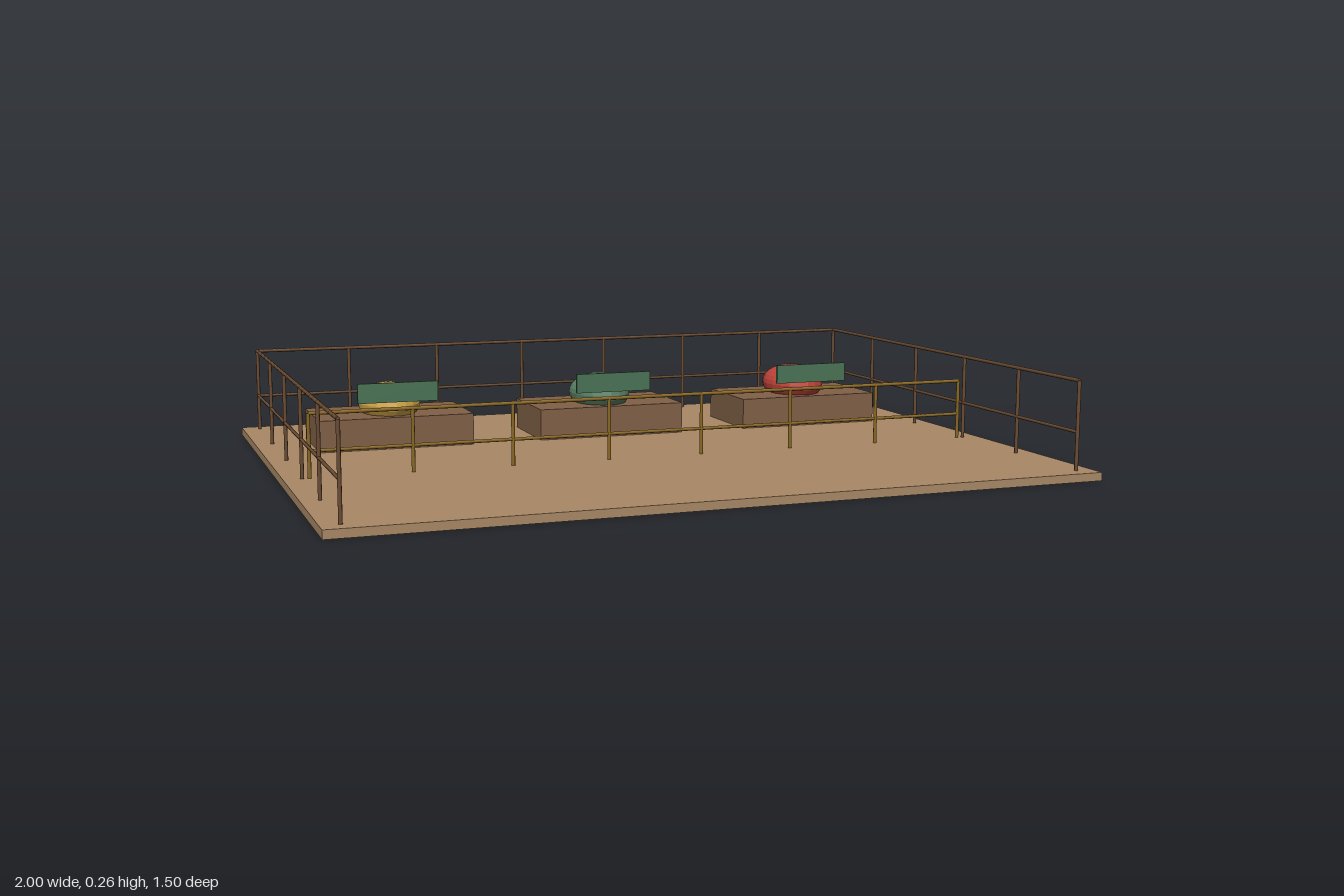
import * as THREE from 'three';

const mat = (name, color, flatShading = false) => {
  const m = new THREE.MeshStandardMaterial({ color, flatShading });
  m.name = name;
  return m;
};

export function createModel() {
  const group = new THREE.Group();
  const floorMat = mat('tan floor', 0xa98967);
  const plinthMat = mat('brown plinth', 0x816047);
  const railMat = mat('dark brown rail', 0x6b4c33);
  const brassMat = mat('brass rail', 0x8a6824);
  const signMat = mat('sign green', 0x4a7456);
  const eggMats = [
    mat('gold', 0xd4a84b, true),
    mat('green', 0x5b8266, true),
    mat('red', 0xc0443a, true),
  ];
  const FLOOR = 0.022;

  function box(name, material, w, h, d, x, y, z, parent = group) {
    const m = new THREE.Mesh(new THREE.BoxGeometry(w, h, d), material);
    m.name = name;
    m.position.set(x, y, z);
    parent.add(m);
    return m;
  }

  // Round bar between two points
  function bar(name, material, a, b, r, parent) {
    const dir = b.clone().sub(a);
    const m = new THREE.Mesh(new THREE.CylinderGeometry(r, r, dir.length(), 8), material);
    m.name = name;
    m.position.copy(a).add(b).multiplyScalar(0.5);
    m.quaternion.setFromUnitVectors(new THREE.Vector3(0, 1, 0), dir.normalize());
    parent.add(m);
  }

  // Straight railing: evenly spaced posts and two horizontal bars
  function railing(name, material, [x0, z0], [x1, z1], spans, top, mid) {
    const g = new THREE.Group();
    g.name = name;
    for (let i = 0; i <= spans; i++) {
      const x = THREE.MathUtils.lerp(x0, x1, i / spans);
      const z = THREE.MathUtils.lerp(z0, z1, i / spans);
      bar('post', material, new THREE.Vector3(x, FLOOR, z), new THREE.Vector3(x, top, z), 0.005, g);
    }
    for (const [part, y, r] of [['topRail', top, 0.005], ['middleRail', mid, 0.0045]]) {
      bar(part, material, new THREE.Vector3(x0, y, z0), new THREE.Vector3(x1, y, z1), r, g);
    }
    group.add(g);
  }

  // Floor slab
  box('floor', floorMat, 2, FLOOR, 1.5, 0, FLOOR / 2, 0);

  // Perimeter railings on the back and both sides, low barrier across the middle
  railing('backRailing', railMat, [-0.952, -0.705], [0.952, -0.705], 7, 0.257, 0.123);
  railing('rightRailing', railMat, [-0.952, -0.705], [-0.952, 0.705], 5, 0.257, 0.123);
  railing('leftRailing', railMat, [0.952, -0.705], [0.952, 0.705], 5, 0.257, 0.123);
  railing('frontBarrier', brassMat, [-0.933, 0.14], [0.933, 0.14], 7, 0.188, 0.092);

  // Three displays: plinth, egg sunk into it, sign in front
  eggMats.forEach((eggMat, i) => {
    const display = new THREE.Group();
    display.name = 'display';
    display.position.x = (i - 1) * 0.632;
    group.add(display);
    box('plinth', plinthMat, 0.434, 0.11 - FLOOR, 0.257, 0, (0.11 + FLOOR) / 2, -0.35, display);
    box('sign', signMat, 0.225, 0.055, 0.009, 0, 0.182, -0.213, display);
    const egg = new THREE.Mesh(new THREE.SphereGeometry(1, 20, 14), eggMat);
    egg.name = 'egg';
    egg.scale.set(0.087, 0.057, 0.115);
    egg.position.set(0, 0.138, -0.344);
    display.add(egg);
  });

  return group;
}
